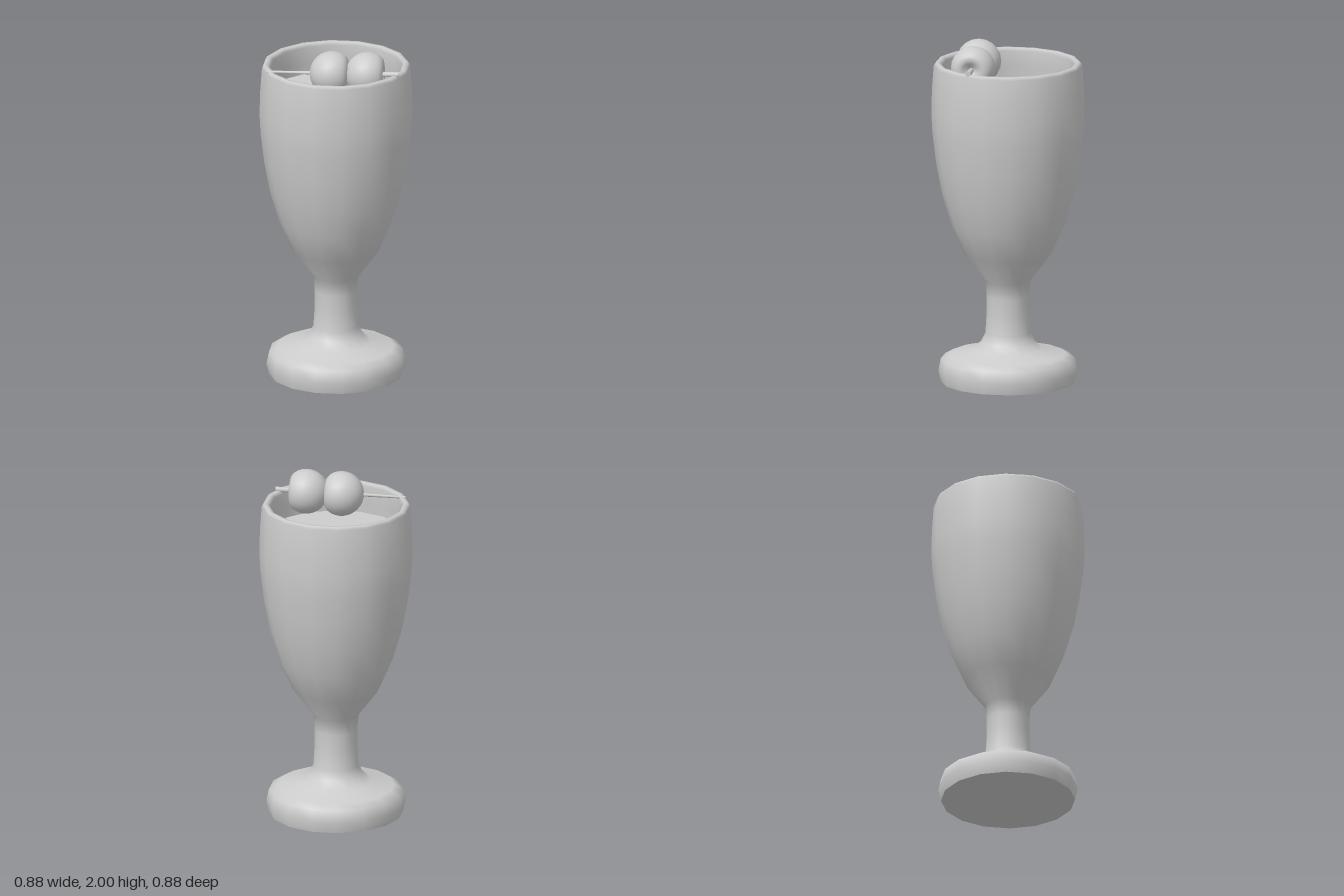
import * as THREE from 'three';

const SIDES = 16;
const points = list => list.map(([r, y]) => new THREE.Vector2(r, y));

export function createModel() {
  const model = new THREE.Group();
  model.name = 'garnishedGoblet';
  const grey = new THREE.MeshStandardMaterial({ color: 0xcccccc });
  grey.name = 'plain grey';

  const add = (parent, name, geometry) => {
    const mesh = new THREE.Mesh(geometry, grey);
    mesh.name = name;
    parent.add(mesh);
    return mesh;
  };

  // Goblet: foot, stem, bowl, rolled rim and inner wall; a doubled point keeps a crease
  add(model, 'goblet', new THREE.LatheGeometry(points([
    [0, 0], [0.385, 0], [0.385, 0],
    [0.4, 0.065], [0.385, 0.135], [0.335, 0.162], [0.2, 0.19], [0.155, 0.235], [0.13, 0.285],
    [0.123, 0.4], [0.123, 0.5], [0.13, 0.59],
    [0.25, 0.75], [0.325, 0.92], [0.378, 1.1], [0.412, 1.28], [0.434, 1.46], [0.44, 1.58],
    [0.436, 1.72], [0.426, 1.855], [0.415, 1.872], [0.395, 1.872], [0.378, 1.855],
    [0.386, 1.76], [0.39, 1.66],
  ]), SIDES));

  // Drink surface inside the bowl
  const drink = add(model, 'drink', new THREE.CircleGeometry(0.39, SIDES));
  drink.rotation.x = -Math.PI / 2;
  drink.position.y = 1.69;

  // Garnish: built along local y, then laid across the rim
  const garnish = new THREE.Group();
  garnish.name = 'garnish';
  garnish.position.set(0.097, 1.872, 0.14);
  garnish.quaternion.setFromUnitVectors(
    new THREE.Vector3(0, 1, 0), new THREE.Vector3(0.82, 0.01, -0.57).normalize());
  model.add(garnish);

  // Tapered pick
  add(garnish, 'pick', new THREE.CylinderGeometry(0.016, 0.007, 0.755, 8));

  // Two round fruits with a dimple at the far end
  const fruit = [];
  for (let i = 0; i <= 10; i++) {
    const a = -Math.PI / 2 + i * 0.2;
    fruit.push([Math.max(0, 0.129 * Math.cos(a)), 0.129 * Math.sin(a)]);
  }
  fruit.push([0.105, 0.073], [0.088, 0.088], [0.066, 0.093], [0.044, 0.086], [0.028, 0.068], [0, 0.055]);
  const fruitGeometry = new THREE.LatheGeometry(points(fruit), 20);
  [-0.005, 0.2].forEach((s, i) => {
    add(garnish, 'fruit' + (i + 1), fruitGeometry).position.y = s;
  });

  return model;
}
